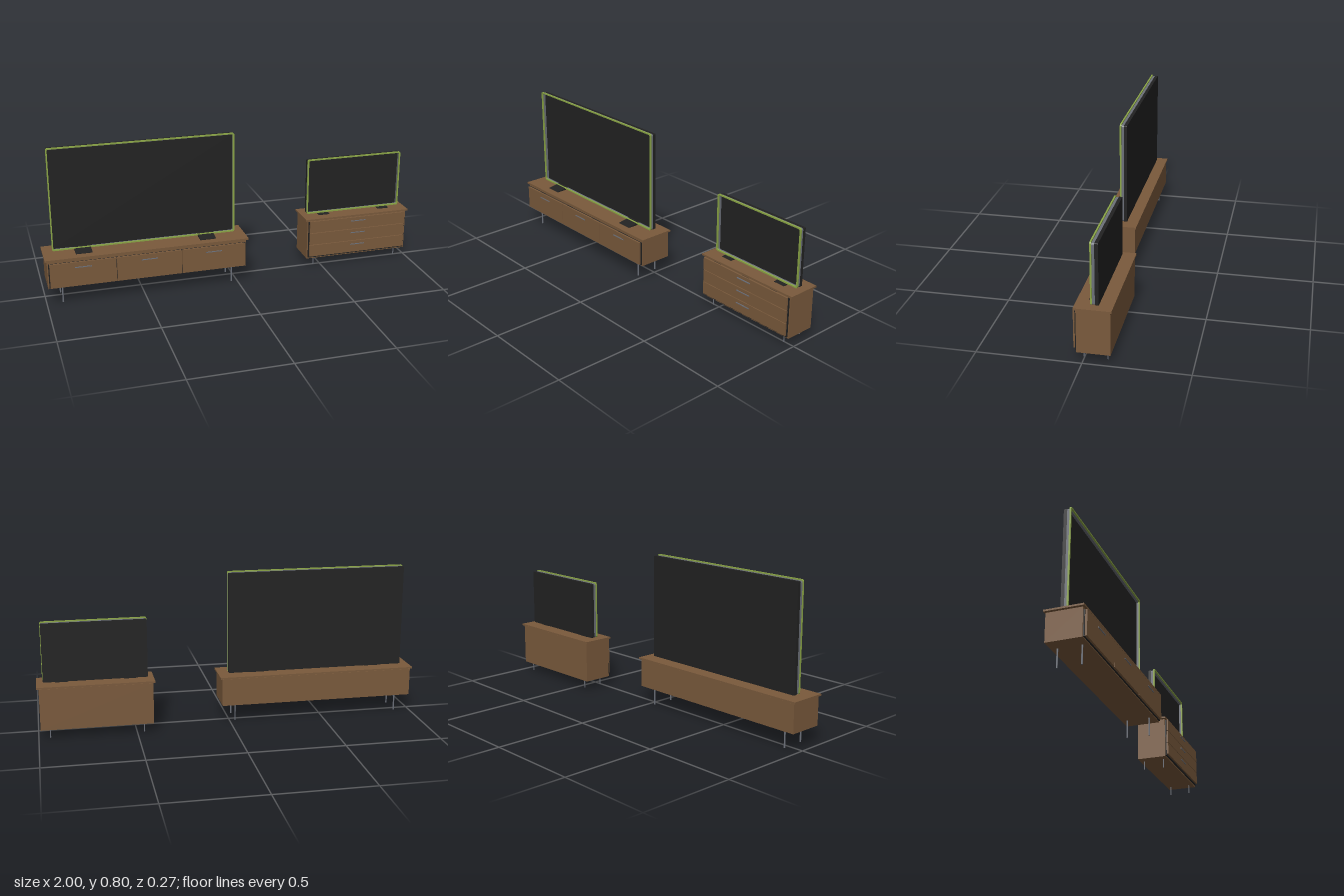
import * as THREE from 'three';

const mat = (name, color) => {
  const m = new THREE.MeshStandardMaterial({ color });
  m.name = name;
  return m;
};

export function createModel() {
  const wood = mat('walnut wood', 0x7a5a3c);
  const black = mat('black plastic', 0x222222);
  const steel = mat('grey steel', 0x6c7079);
  const green = mat('green trim', 0x8ba646);

  const root = new THREE.Group();
  root.name = 'tvFurniture';

  const add = (parent, name, geometry, material, x = 0, y = 0, z = 0) => {
    const m = new THREE.Mesh(geometry, material);
    m.name = name;
    m.position.set(x, y, z);
    parent.add(m);
    return m;
  };

  // box given by its lower and upper limits on each axis
  const block = (parent, name, material, [x0, x1], [y0, y1], [z0, z1]) =>
    add(parent, name, new THREE.BoxGeometry(x1 - x0, y1 - y0, z1 - z0), material,
      (x0 + x1) / 2, (y0 + y1) / 2, (z0 + z1) / 2);

  // rounded rectangle outline, used for the panels and rims
  const outline = (Type, [x0, x1], [y0, y1], r) => {
    const s = new Type();
    s.moveTo(x0 + r, y0);
    s.lineTo(x1 - r, y0);
    s.absarc(x1 - r, y0 + r, r, -Math.PI / 2, 0);
    s.lineTo(x1, y1 - r);
    s.absarc(x1 - r, y1 - r, r, 0, Math.PI / 2);
    s.lineTo(x0 + r, y1);
    s.absarc(x0 + r, y1 - r, r, Math.PI / 2, Math.PI);
    s.lineTo(x0, y0 + r);
    s.absarc(x0 + r, y0 + r, r, Math.PI, Math.PI * 1.5);
    return s;
  };

  const ring = (parent, name, material, [x0, x1], [y0, y1], [z0, z1], t) => {
    const shape = outline(THREE.Shape, [x0, x1], [y0, y1], 0.01);
    shape.holes.push(outline(THREE.Path, [x0 + t, x1 - t], [y0 + t, y1 - t], 0.007));
    const g = new THREE.ExtrudeGeometry(shape, { depth: z1 - z0, bevelEnabled: false, curveSegments: 4 });
    add(parent, name, g, material, 0, 0, z0);
  };

  // cabinet: body, top board, dark backing, drawer fronts, handles and legs
  function cabinet(c) {
    const g = new THREE.Group();
    g.name = c.name;
    root.add(g);
    block(g, 'body', wood, c.x, c.y, c.z);
    block(g, 'shadowGap', black, [c.x[0] + 0.01, c.x[1] - 0.01], [c.y[1], c.top[0]], [c.z[0] + 0.01, c.z[1] - 0.008]);
    block(g, 'topBoard', wood, c.topX, c.top, c.topZ);
    block(g, 'drawerBacking', black, [c.x[0] + 0.006, c.x[1] - 0.006], c.backY, [c.z[1], c.drawerZ[0]]);
    for (const d of c.drawers) {
      block(g, 'drawerFront', wood, d.x, d.y, c.drawerZ);
      const mid = (d.x[0] + d.x[1]) / 2;
      block(g, 'handle', steel, [mid - 0.042, mid + 0.042], [d.handle - 0.002, d.handle + 0.002],
        [c.drawerZ[1], c.drawerZ[1] + 0.004]);
    }
    const leg = new THREE.CylinderGeometry(c.legR, c.legR, c.y[0], 12);
    for (const x of c.legX) for (const z of c.legZ) add(g, 'leg', leg, steel, x, c.y[0] / 2, z);
  }

  cabinet({
    name: 'wideCabinet',
    x: [-0.99, 0.042], y: [0.093, 0.238], z: [-0.06, 0.117],
    topX: [-1, 0.053], top: [0.241, 0.25], topZ: [-0.067, 0.125],
    backY: [0.098, 0.228], drawerZ: [0.123, 0.133],
    drawers: [-0.979, -0.6415, -0.304].map(x => ({ x: [x, x + 0.334], y: [0.102, 0.229], handle: 0.202 })),
    legX: [-0.917, -0.03], legZ: [-0.03, 0.087], legR: 0.004,
  });

  cabinet({
    name: 'smallCabinet',
    x: [0.414, 0.989], y: [0.048, 0.265], z: [-0.13, 0.028],
    topX: [0.404, 1], top: [0.268, 0.277], topZ: [-0.137, 0.034],
    backY: [0.055, 0.262], drawerZ: [0.034, 0.043],
    drawers: [0.064, 0.1325, 0.201].map(y => ({ x: [0.425, 0.978], y: [y, y + 0.065], handle: y + 0.046 })),
    legX: [0.462, 0.941], legZ: [-0.108, 0.003], legR: 0.003,
  });

  // television: rear housing with screen, grey rim, green front trim and two feet
  function television(t) {
    const g = new THREE.Group();
    g.name = t.name;
    root.add(g);
    const panel = new THREE.ExtrudeGeometry(outline(THREE.Shape, t.x, t.y, 0.004),
      { depth: 0.017, bevelEnabled: false, curveSegments: 3 });
    add(g, 'housing', panel, black, 0, 0, t.z);
    const inset = 0.008;
    block(g, 'screen', black, [t.x[0] + inset, t.x[1] - inset], [t.y[0] + inset, t.y[1] - inset],
      [t.z + 0.017, t.z + 0.02]);
    ring(g, 'rim', steel, t.x, t.y, [t.z + 0.017, t.z + 0.03], 0.004);
    ring(g, 'frontTrim', green, [t.x[0] - 0.003, t.x[1] + 0.003], [t.y[0], t.y[1] + 0.006],
      [t.z + 0.03, t.z + 0.038], 0.007);

    // wedge-shaped foot, profile drawn in z and y
    const [w, z0, z1, h] = t.foot;
    const profile = new THREE.Shape();
    profile.moveTo(z0, t.base);
    profile.lineTo(z1, t.base);
    profile.lineTo(z1, t.base + 0.002);
    profile.lineTo(z0, t.base + h);
    for (const x of t.footX) {
      const foot = new THREE.ExtrudeGeometry(profile, { depth: w, bevelEnabled: false });
      foot.rotateY(-Math.PI / 2);
      add(g, 'foot', foot, black, x + w / 2, 0, 0);
    }
  }

  television({
    name: 'largeTelevision', x: [-0.948, 0], y: [0.257, 0.792], z: -0.009,
    base: 0.25, footX: [-0.797, -0.153], foot: [0.084, 0.008, 0.082, 0.014],
  });
  television({
    name: 'smallTelevision', x: [0.435, 0.966], y: [0.283, 0.586], z: -0.073,
    base: 0.277, footX: [0.526, 0.874], foot: [0.062, -0.062, -0.016, 0.008],
  });

  return root;
}
